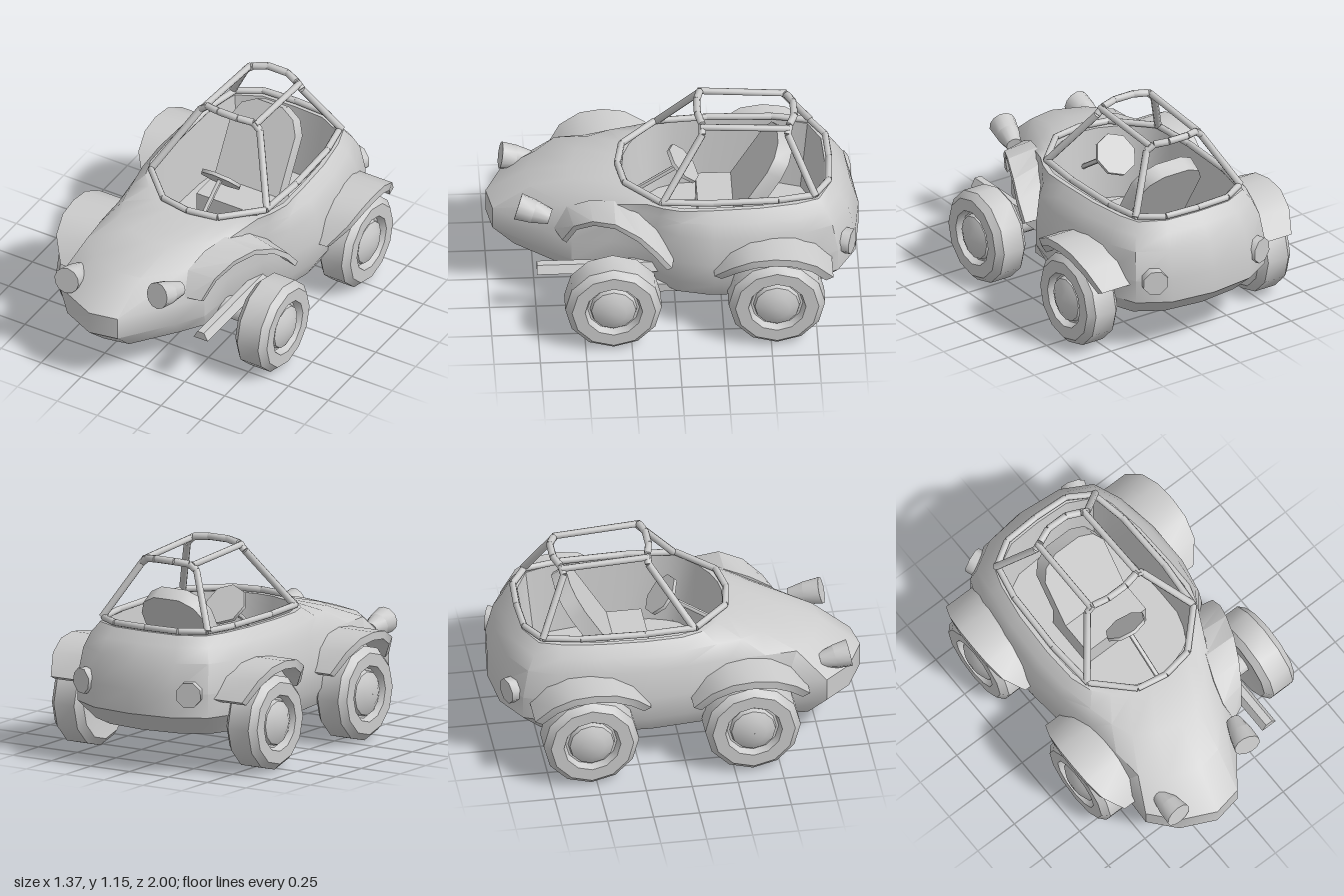
import * as THREE from 'three';
import { toCreasedNormals } from 'three/addons/utils/BufferGeometryUtils.js';

const V = (x, y, z) => new THREE.Vector3(x, y, z);
const mat = new THREE.MeshStandardMaterial({ color: 0xcccccc, side: THREE.DoubleSide });

function add(parent, geometry, name, crease = 0.6) {
  const mesh = new THREE.Mesh(toCreasedNormals(geometry, crease), mat);
  mesh.name = name;
  parent.add(mesh);
  return mesh;
}

// Skin through closed rings that all have the same number of points
function loft(rings) {
  const n = rings[0].length, index = [];
  for (let r = 0; r < rings.length - 1; r++) {
    for (let i = 0; i < n; i++) {
      const a = r * n + i, b = r * n + (i + 1) % n;
      index.push(a, a + n, b, b, a + n, b + n);
    }
  }
  const g = new THREE.BufferGeometry().setFromPoints(rings.flat());
  g.setIndex(index);
  return g;
}
const collapse = (ring, c) => ring.map(() => c.clone());
const centre = ring => ring.reduce((s, p) => s.add(p), V(0, 0, 0)).divideScalar(ring.length);

// Round bar or cone from a to b
function bar(parent, name, a, b, ra, rb = ra, sides = 8) {
  const d = b.clone().sub(a);
  const m = add(parent, new THREE.CylinderGeometry(rb, ra, d.length(), sides), name, 0.9);
  m.position.copy(a).add(b).multiplyScalar(0.5);
  m.quaternion.setFromUnitVectors(V(0, 1, 0), d.normalize());
}

// Plan outlines [x, z], from the back centre round by the left side
const belt = [[0, -1], [0.25, -0.97], [0.42, -0.87], [0.49, -0.7], [0.53, -0.45], [0.53, -0.2], [0.48, 0],
  [0.37, 0.13], [0.28, 0.35], [0.26, 0.56], [0.16, 0.71], [-0.04, 0.97], [-0.2, 1], [-0.39, 0.91], [-0.51, 0.77],
  [-0.5, 0.55], [-0.49, 0.3], [-0.52, 0], [-0.54, -0.2], [-0.53, -0.45], [-0.49, -0.7], [-0.42, -0.87], [-0.25, -0.97]];
const opening = [[0, -0.85], [0.2, -0.84], [0.34, -0.77], [0.38, -0.65], [0.41, -0.45], [0.42, -0.2], [0.42, -0.03],
  [0.39, 0.07], [0.35, 0.15], [0.27, 0.21], [0.17, 0.27], [0.08, 0.3], [0, 0.31], [-0.1, 0.3], [-0.2, 0.26],
  [-0.3, 0.2], [-0.37, 0.12], [-0.41, 0], [-0.42, -0.2], [-0.41, -0.45], [-0.38, -0.65], [-0.34, -0.77], [-0.2, -0.84]];

function makeBody(car) {
  const blend = (tx, tz, y) => belt.map(([x, z], i) =>
    V(x + (opening[i][0] - x) * tx, y, z + (opening[i][1] - z) * tz));
  const inner = (k, y) => opening.map(([x, z]) => V(x * k, y, -0.27 + (z + 0.27) * k));
  const bottom = belt.map(([x, z]) => V(x * 0.88, 0.21, z * 0.88));
  const floor = inner(0.86, 0.34);
  add(car, loft([
    collapse(bottom, V(0, 0.21, 0)), bottom, blend(0, 0, 0.32), blend(0, 0, 0.45), blend(0.22, 0.3, 0.61),
    blend(0.54, 0.65, 0.688), blend(1, 1, 0.745), inner(0.94, 0.745), floor, collapse(floor, V(0, 0.34, -0.25)),
  ]), 'body', 0.65);

  // Rail round the cockpit, in straight lengths
  const side = [[0.2, -0.83], [0.33, -0.75], [0.37, -0.55], [0.38, -0.2], [0.36, 0.08], [0.17, 0.27]];
  const rim = [[0, -0.84], ...side, [0, 0.3], ...side.slice().reverse().map(([x, z]) => [-x, z])];
  rim.forEach(([x, z], i) => {
    const [x2, z2] = rim[(i + 1) % rim.length];
    bar(car, 'cockpitRim', V(x, 0.765, z), V(x2, 0.765, z2), 0.018);
  });
}

// Arched sheet from pairs of inner and outer edge points, thickened toward the axle
function arch(pairs, axle, thick) {
  const rings = pairs.map(([a, b]) => {
    const sink = p => p.clone().addScaledVector(V(0, axle.y - p.y, axle.z - p.z).normalize(), thick);
    return [a, b, sink(b), sink(a)];
  });
  const first = rings[0], last = rings[rings.length - 1];
  return loft([collapse(first, centre(first)), ...rings, collapse(last, centre(last))]);
}

function makeFenders(car) {
  // Stations [z, y, outer x], narrowing toward the front
  const stations = [[-0.32, 0.42, 0.615], [-0.23, 0.53, 0.66], [-0.12, 0.588, 0.68], [0, 0.603, 0.685],
    [0.12, 0.588, 0.68], [0.23, 0.53, 0.655], [0.32, 0.42, 0.575]];
  for (const [name, s, z] of [['rearLeftFender', 1, -0.515], ['rearRightFender', -1, -0.515],
    ['frontRightFender', -1, 0.35]]) {
    const pairs = stations.map(([dz, y, x]) => [V(0.42 * s, y, dz), V(x * s, y, dz)]);
    if (s < 0) pairs.reverse();
    add(car, arch(pairs, V(0, 0.26, 0), 0.045), name, 0.5).position.z = z;
  }
  // Left front fender follows the slanted flank
  add(car, arch([
    [V(0.42, 0.46, 0.01), V(0.53, 0.45, 0.03)],
    [V(0.35, 0.6, 0.1), V(0.52, 0.55, 0.11)],
    [V(0.3, 0.68, 0.2), V(0.49, 0.63, 0.2)],
    [V(0.25, 0.7, 0.33), V(0.44, 0.685, 0.33)],
    [V(0.2, 0.67, 0.46), V(0.38, 0.665, 0.45)],
    [V(0.17, 0.61, 0.58), V(0.32, 0.59, 0.55)],
    [V(0.19, 0.48, 0.65), V(0.27, 0.46, 0.61)],
  ], V(0, 0.26, 0.33), 0.03), 'frontLeftFender', 0.5);
}

function makeWheel() {
  const wheel = new THREE.Group();
  const spin = pts => new THREE.LatheGeometry(pts.map(([r, y]) => new THREE.Vector2(r, y)), 12);
  add(wheel, spin([[0.001, -0.08], [0.15, -0.09], [0.22, -0.1], [0.26, -0.065], [0.26, 0.065],
    [0.225, 0.1], [0.155, 0.1], [0.14, 0.06], [0.001, 0.06]]), 'tyre', 0.55);
  add(wheel, spin([[0.13, 0.05], [0.12, 0.085], [0.07, 0.11], [0.001, 0.12]]), 'hubcap', 0.8);
  wheel.children.forEach(m => { m.rotation.z = -Math.PI / 2; });
  return wheel;
}

function makeRunningGear(car) {
  for (const [end, z] of [['front', 0.35], ['rear', -0.53]]) {
    bar(car, end + 'Axle', V(-0.5, 0.265, z), V(0.5, 0.265, z), 0.062, 0.062, 10);
    const diff = add(car, new THREE.SphereGeometry(1, 8, 6), end + 'Differential');
    diff.scale.set(0.13, 0.075, 0.1);
    diff.position.set(0, 0.24, z);
    for (const s of [1, -1]) {
      const w = makeWheel();
      w.name = end + (s > 0 ? 'Left' : 'Right') + 'Wheel';
      w.position.set(0.56 * s, 0.26, z);
      if (s < 0) w.rotation.y = Math.PI;
      car.add(w);
    }
  }
  // Low sill rails
  for (const s of [1, -1]) {
    const rail = add(car, new THREE.BoxGeometry(0.08, 0.05, 0.56), 'sillRail');
    rail.position.set(0.35 * s, 0.209, -0.14);
  }
  // Bevelled beam above the axle, exposed by the slanted flank
  const section = new THREE.Shape([[-0.045, 0], [0.045, 0], [0.02, 0.045], [-0.02, 0.045]]
    .map(p => new THREE.Vector2(...p)));
  const beam = add(car, new THREE.ExtrudeGeometry(section, { depth: 0.69, bevelEnabled: false }), 'frontBeam');
  beam.position.set(0.35, 0.325, 0.06);
}

// Open polyline of bars, mirrored over the centre line
function hoop(car, name, half, r) {
  const pts = [...half, ...half.slice().reverse().map(p => V(-p.x, p.y, p.z))];
  for (let i = 0; i < pts.length - 1; i++) bar(car, name, pts[i], pts[i + 1], r);
}

function makeCage(car) {
  hoop(car, 'frontHoop', [V(0.36, 0.765, 0.07), V(0.185, 1.085, -0.15), V(0.145, 1.122, -0.15), V(0.06, 1.13, -0.13)], 0.02);
  hoop(car, 'rearHoop', [V(0.34, 0.765, -0.75), V(0.175, 1.06, -0.61), V(0.135, 1.09, -0.62), V(0.06, 1.1, -0.65)], 0.02);
  for (const s of [1, -1]) bar(car, 'roofBar', V(0.16 * s, 1.115, -0.14), V(0.155 * s, 1.085, -0.62), 0.018);
}

function makeCockpit(car) {
  // Seat
  const back = new THREE.Shape([[-0.2, 0], [0.2, 0], [0.2, 0.38], [0.16, 0.46], [0.08, 0.505], [-0.08, 0.505],
    [-0.16, 0.46], [-0.2, 0.38]].map(p => new THREE.Vector2(...p)));
  const rest = add(car, new THREE.ExtrudeGeometry(back, { depth: 0.09, bevelEnabled: false }), 'seatBack');
  rest.position.set(0, 0.45, -0.38);
  rest.rotation.x = -0.54;
  const cushion = add(car, new THREE.BoxGeometry(0.4, 0.2, 0.3), 'seatCushion');
  cushion.position.set(0, 0.425, -0.28);
  // Steering
  bar(car, 'steeringColumn', V(0, 0.52, 0.29), V(0, 0.745, -0.04), 0.014);
  bar(car, 'steeringWheel', V(0, 0.74, -0.045), V(0, 0.753, -0.06), 0.12, 0.12, 8);
}

function makeLamps(car) {
  for (const [name, a, b] of [
    ['leftHeadlamp', V(0.17, 0.545, 0.67), V(0.13, 0.59, 0.84)],
    ['rightHeadlamp', V(-0.4, 0.505, 0.75), V(-0.395, 0.535, 0.91)]]) {
    const mid = a.clone().lerp(b, 0.5);
    bar(car, name, a, mid, 0.042, 0.064, 12);
    bar(car, name, mid, b, 0.064, 0.074, 12);
  }
  for (const s of [1, -1]) {
    bar(car, 'tailLamp', V(0.315 * s, 0.45, -0.87), V(0.345 * s, 0.45, -0.95), 0.072, 0.072, 8);
  }
}

export function createModel() {
  const car = new THREE.Group();
  car.name = 'buggy';
  makeBody(car);
  makeFenders(car);
  makeRunningGear(car);
  makeCage(car);
  makeCockpit(car);
  makeLamps(car);
  return car;
}
